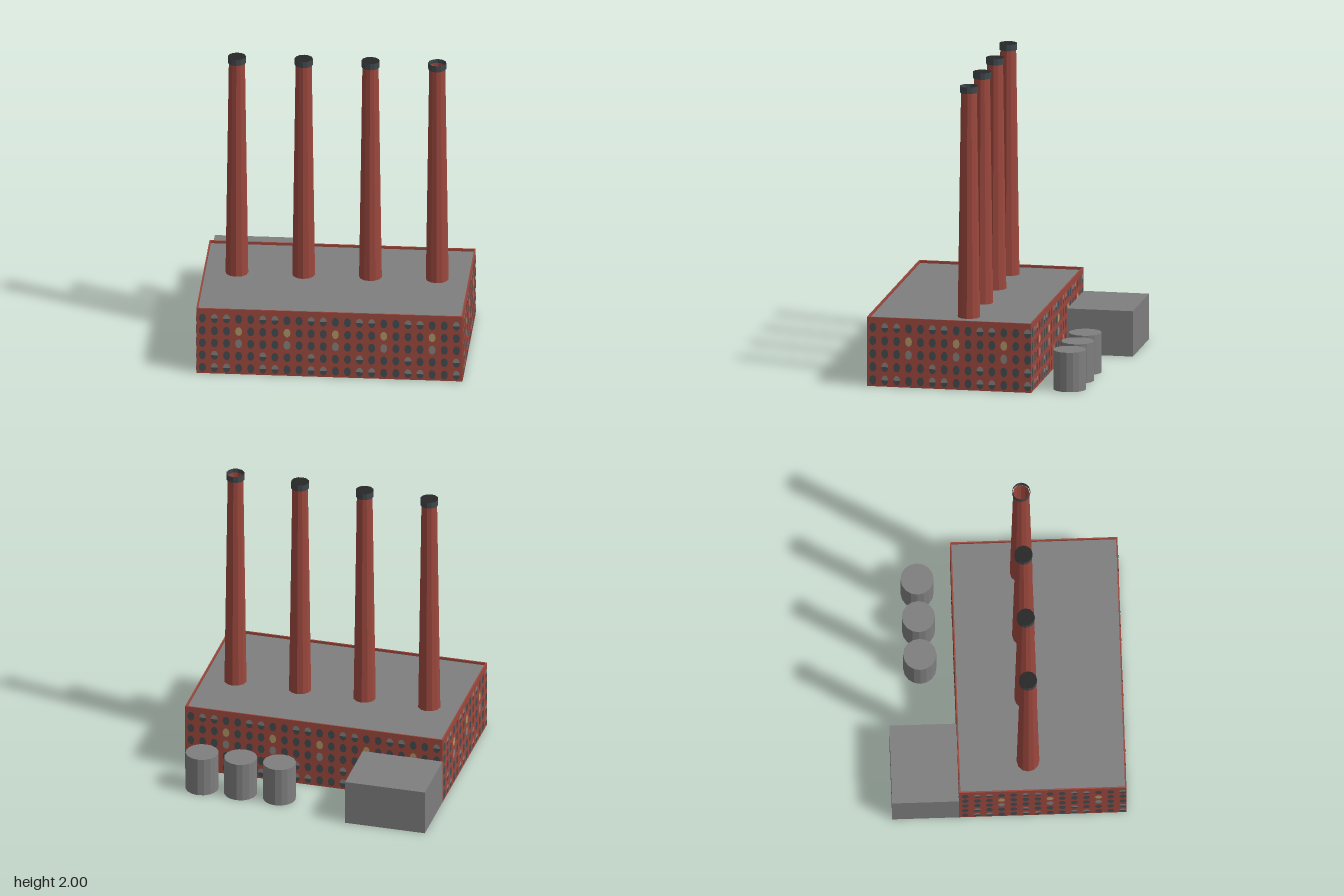
import * as THREE from 'three';
import { mergeGeometries } from 'three/addons/utils/BufferGeometryUtils.js';

const mat = (name, color, flatShading = false) =>
  new THREE.MeshStandardMaterial({ name, color, flatShading, side: THREE.DoubleSide });

const WIDTH = 1.754, DEPTH = 1.1, HEIGHT = 0.465, THICK = 0.009;
const ROOF_Y = 0.447, FRONT_Z = 0.77, BACK_Z = -0.33;

export function createModel() {
  const brick = mat('brick red', 0x9c483d, true);
  const concrete = mat('concrete grey', 0x7e7e7e, true);
  const cap = mat('chimney cap slate', 0x40474b, true);
  const soot = mat('soot black', 0x272727);
  const glass = mat('dark glass', 0x434b50);
  const blind = mat('window blind grey', 0x85807d);
  const lit = mat('lit window yellow', 0xaf9667);

  const model = new THREE.Group();
  const add = (parent, name, geometry, material, x = 0, y = 0, z = 0) => {
    const mesh = new THREE.Mesh(geometry, material);
    mesh.name = name;
    mesh.position.set(x, y, z);
    parent.add(mesh);
    return mesh;
  };

  // Oval pane (or half of one) shown on both faces of a wall
  const pane = (list, x, y, start = 0, sweep = Math.PI * 2) => {
    for (const side of [1, -1]) {
      const g = new THREE.CircleGeometry(1, 10, start, sweep);
      g.scale(0.023, 0.032, 1);
      g.translate(x, y, side * (THICK / 2 + 0.0015));
      list.push(g);
    }
  };

  // Brick wall with five rows of windows in a pattern repeating every four columns
  const addWall = (name, length, cols, x, z, turn) => {
    const wall = new THREE.Group();
    wall.name = name;
    wall.position.set(x, 0, z);
    wall.rotation.y = turn;
    add(wall, 'brickwork', new THREE.BoxGeometry(length, HEIGHT, THICK), brick, 0, HEIGHT / 2, 0);
    const dark = [], pale = [], yellow = [];
    for (let c = 0; c < cols; c++) {
      for (let r = 0; r < 5; r++) {
        const px = -length / 2 + 0.04 + c * 0.0797;
        const py = 0.043 + r * 0.0882;
        const k = c % 4;
        const half = (k === 1 && (r === 0 || r === 1 || r === 4)) || (k === 2 && (r === 0 || r === 4));
        if (k === 3 && r === 3) pane(yellow, px, py);
        else if (k === 3 && r === 2) pane(pale, px, py);
        else if (half) {
          pane(pale, px, py, 0, Math.PI);
          pane(dark, px, py, Math.PI, Math.PI);
        } else pane(dark, px, py);
      }
    }
    add(wall, 'darkWindows', mergeGeometries(dark), glass);
    add(wall, 'blindWindows', mergeGeometries(pale), blind);
    add(wall, 'litWindows', mergeGeometries(yellow), lit);
    model.add(wall);
  };

  // Main hall, open underneath
  const midZ = (FRONT_Z + BACK_Z) / 2, h = THICK / 2;
  addWall('frontWall', WIDTH, 22, 0, FRONT_Z - h, 0);
  addWall('backWall', WIDTH, 22, 0, BACK_Z + h, Math.PI);
  addWall('leftWall', DEPTH, 14, WIDTH / 2 - h, midZ, Math.PI / 2);
  addWall('rightWall', DEPTH, 14, -WIDTH / 2 + h, midZ, -Math.PI / 2);
  const roof = new THREE.PlaneGeometry(WIDTH - THICK, DEPTH - THICK);
  roof.rotateX(-Math.PI / 2);
  add(model, 'roof', roof, concrete, 0, ROOF_Y, midZ);

  // Four tapering chimneys; the last one is open at the top
  [-0.66, -0.22, 0.22, 0.66].forEach((x, i) => {
    const chimney = new THREE.Group();
    chimney.name = 'chimney';
    chimney.position.set(x, 0, 0.13);
    const top = 1.975, len = top - ROOF_Y;
    add(chimney, 'chimneyShaft', new THREE.CylinderGeometry(0.053, 0.075, len, 12, 1, true), brick, 0, ROOF_Y + len / 2, 0);
    add(chimney, 'chimneyCap', new THREE.CylinderGeometry(0.06, 0.06, 0.043, 12, 1, true), cap, 0, 1.9785, 0);
    if (i < 3) {
      const disc = new THREE.CircleGeometry(0.06, 12, Math.PI / 2);
      disc.rotateX(-Math.PI / 2);
      add(chimney, 'chimneyMouth', disc, soot, 0, 1.998, 0);
    }
    model.add(chimney);
  });

  // Annex behind the hall, without its floor or the side against the hall
  const annex = new THREE.BoxGeometry(0.544, 0.305, 0.44);
  const index = Array.from(annex.index.array);
  annex.setIndex([...index.slice(0, 18), ...index.slice(30)]);
  annex.clearGroups();
  add(model, 'annex', annex, concrete, -0.605, 0.1525, -0.55);

  // Three storage tanks, open underneath
  for (const x of [0.173, 0.437, 0.7]) {
    const tank = new THREE.Group();
    tank.name = 'storageTank';
    tank.position.set(x, 0, -0.553);
    add(tank, 'tankShell', new THREE.CylinderGeometry(0.109, 0.109, 0.265, 16, 1, true), concrete, 0, 0.1325, 0);
    const lid = new THREE.CircleGeometry(0.109, 16, Math.PI / 2);
    lid.rotateX(-Math.PI / 2);
    add(tank, 'tankLid', lid, concrete, 0, 0.265, 0);
    model.add(tank);
  }

  return model;
}
